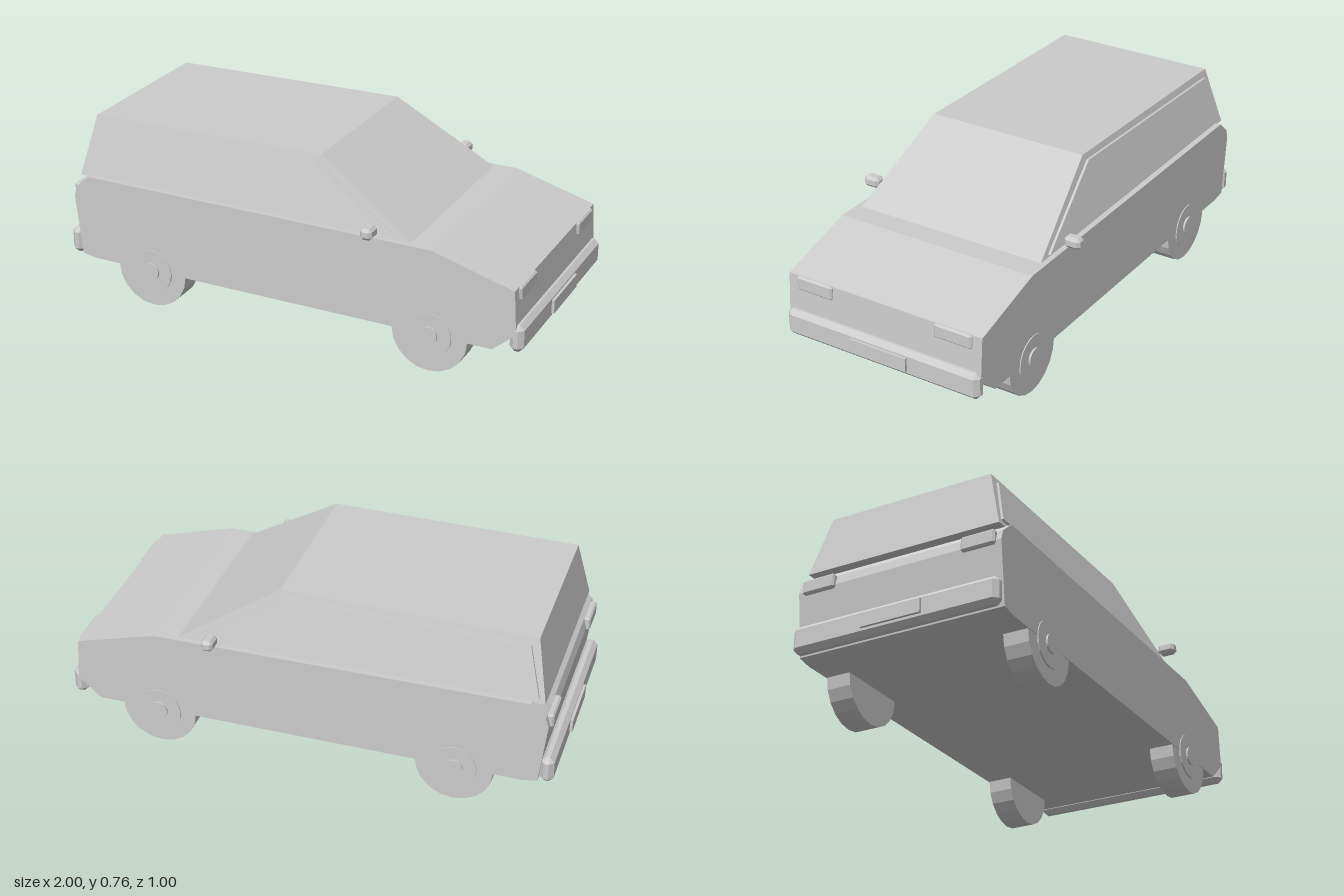
import * as THREE from 'three';
import { ConvexGeometry } from 'three/addons/geometries/ConvexGeometry.js';

export function createModel() {
  const car = new THREE.Group();
  car.name = 'car';
  const material = new THREE.MeshStandardMaterial({ color: 0xcccccc, flatShading: true });

  function add(name, geometry, x = 0, y = 0, z = 0) {
    const mesh = new THREE.Mesh(geometry, material);
    mesh.name = name;
    mesh.position.set(x, y, z);
    car.add(mesh);
    return mesh;
  }

  // Solid between two z surfaces, each a function of height, over a side profile.
  function loft(profile, zA, zB) {
    const points = [];
    for (const [x, y] of profile) {
      points.push(new THREE.Vector3(x, y, zA(y)), new THREE.Vector3(x, y, zB(y)));
    }
    return new ConvexGeometry(points);
  }

  // Box with every edge chamfered by c.
  function chamferBox(w, h, d, c) {
    const points = [];
    for (const sx of [-1, 1]) for (const sy of [-1, 1]) for (const sz of [-1, 1]) {
      const [x, y, z] = [w / 2, h / 2, d / 2];
      points.push(
        new THREE.Vector3(sx * x, sy * (y - c), sz * (z - c)),
        new THREE.Vector3(sx * (x - c), sy * y, sz * (z - c)),
        new THREE.Vector3(sx * (x - c), sy * (y - c), sz * z));
    }
    return new ConvexGeometry(points);
  }

  // Lower body
  const bodyProfile = [
    [-0.87, 0.155], [-0.93, 0.165], [-0.957, 0.42], [-0.945, 0.46], [-0.885, 0.512],
    [0.62, 0.505], [0.95, 0.412], [0.962, 0.235], [0.87, 0.155],
  ];
  add('body', loft(bodyProfile, () => -0.435, () => 0.435));

  // Cabin, leaning inwards to the roof
  const cabinZ = (y) => 0.412 - 0.068 * (y - 0.505) / 0.258;
  const cabinProfile = [[-0.935, 0.505], [-0.885, 0.75], [0.12, 0.763], [0.525, 0.505]];
  add('cabin', loft(cabinProfile, (y) => -cabinZ(y), cabinZ));

  // Raised side windows
  const windowProfile = [[-0.91, 0.528], [-0.857, 0.722], [0.1, 0.738], [0.47, 0.516]];
  for (const s of [-1, 1]) {
    add('sideWindow', loft(windowProfile,
      (y) => s * (cabinZ(y) - 0.02), (y) => s * (cabinZ(y) + 0.01)));
  }

  // Bumpers and number plates
  for (const s of [-1, 1]) {
    add(s > 0 ? 'frontBumper' : 'rearBumper',
      chamferBox(0.056, 0.11, 0.872, 0.019), s * 0.96, 0.215, 0);
    add(s > 0 ? 'frontPlate' : 'rearPlate',
      new THREE.BoxGeometry(0.02, 0.056, 0.254), s * 0.989, 0.217, 0);
  }

  for (const s of [-1, 1]) {
    // Lamps and mirrors
    add('headlight', chamferBox(0.028, 0.058, 0.164, 0.007), 0.948, 0.384, s * 0.312);
    add('tailLight', chamferBox(0.03, 0.058, 0.14, 0.007), -0.956, 0.434, s * 0.342);
    add('wingMirror', chamferBox(0.048, 0.046, 0.07, 0.012), 0.375, 0.542, s * 0.463);

    // Wheels
    for (const x of [-0.603, 0.615]) {
      const disc = (name, radius, inner, outer, sides) => {
        const geometry = new THREE.CylinderGeometry(radius, radius, outer - inner, sides);
        geometry.rotateX(Math.PI / 2);
        add(name, geometry, x, 0.155, s * (inner + outer) / 2);
      };
      disc('tyre', 0.155, 0.33, 0.432, 20);
      disc('wheelRim', 0.092, 0.42, 0.439, 20);
      disc('hubCap', 0.037, 0.42, 0.447, 20);
    }
  }
  return car;
}
